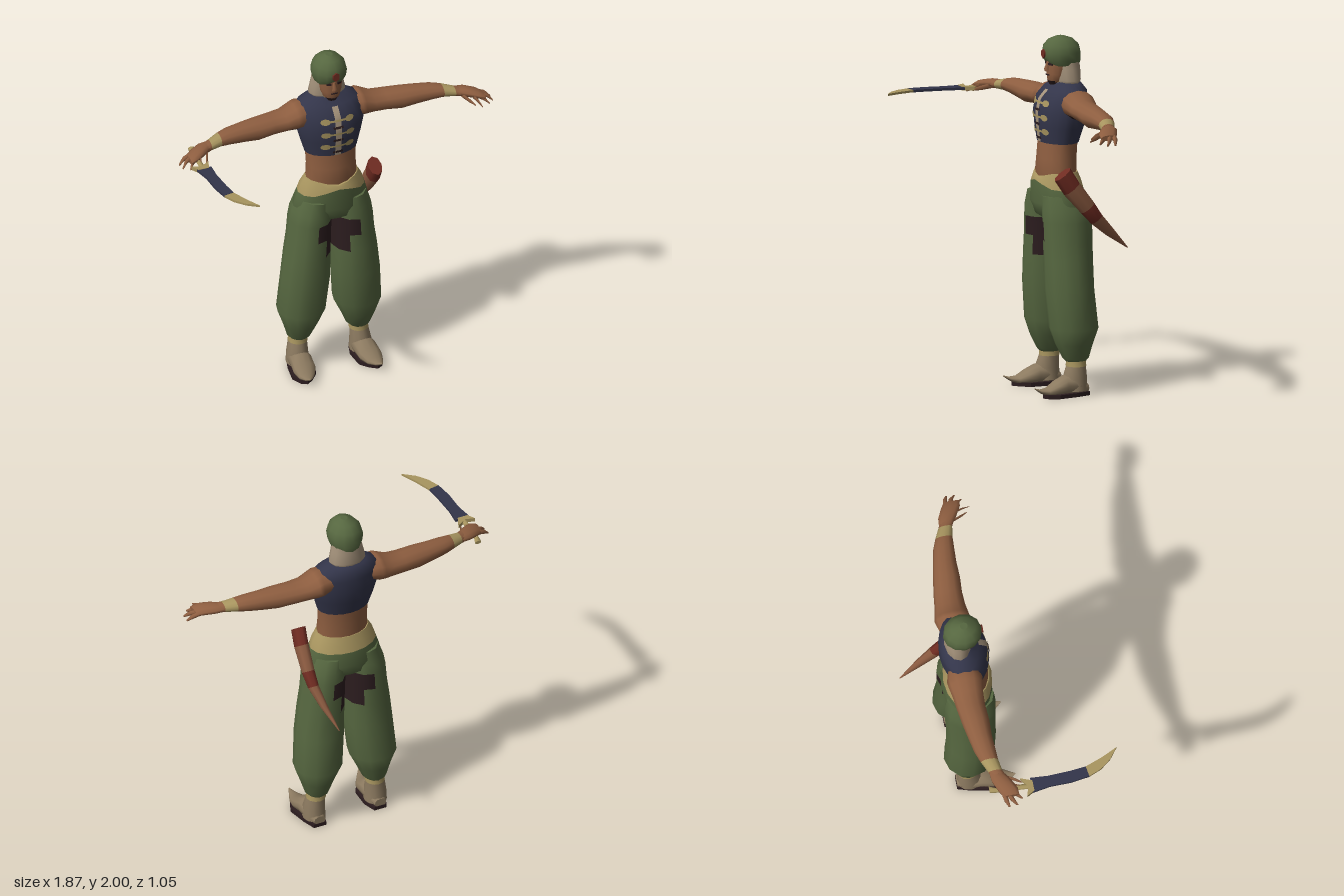
import * as THREE from 'three';

const mat = (name, color, side = THREE.FrontSide) => {
  const m = new THREE.MeshStandardMaterial({ color, side });
  m.name = name;
  return m;
};

const X = [1, 0, 0], Y = [0, 1, 0], Z = [0, 0, 1];

// Smooth skin through elliptical rings [x, y, z, radiusU, radiusV, frontDip].
// pick(ring, segment) chooses the material index of each quad.
function loft(rings, U, V, n = 12, pick = () => 0) {
  const pos = [], idx = [], geo = new THREE.BufferGeometry();
  const u = new THREE.Vector3(...U), v = new THREE.Vector3(...V);
  const a = new THREE.Vector3(...rings[0]), b = new THREE.Vector3(...rings[rings.length - 1]);
  const flip = u.clone().cross(v).dot(b.clone().sub(a)) < 0;
  const tri = (p, q, r) => (flip ? idx.push(p, r, q) : idx.push(p, q, r));
  const ringPoints = ([x, y, z, ru, rv, dip = 0]) => {
    for (let j = 0; j < n; j++) {
      const t = (j / n) * Math.PI * 2, c = Math.cos(t) * ru, s = Math.sin(t) * rv;
      pos.push(x + u.x * c + v.x * s,
        y + u.y * c + v.y * s + dip * Math.max(0, Math.sin(t)) ** 6,
        z + u.z * c + v.z * s);
    }
  };
  rings.forEach(ringPoints);
  for (let i = 0; i < rings.length - 1; i++) {
    for (let j = 0; j < n; j++) {
      const k = (j + 1) % n, p = i * n, q = p + n;
      geo.addGroup(idx.length, 6, pick(i, j));
      tri(p + j, p + k, q + k);
      tri(p + j, q + k, q + j);
    }
  }
  // end caps
  [0, rings.length - 1].forEach((i) => {
    const start = pos.length / 3;
    ringPoints(rings[i]);
    pos.push(...rings[i].slice(0, 3));
    geo.addGroup(idx.length, n * 3, 0);
    for (let j = 0; j < n; j++) {
      const k = (j + 1) % n;
      if (i) tri(start + j, start + k, start + n);
      else tri(start + k, start + j, start + n);
    }
  });
  geo.setAttribute('position', new THREE.Float32BufferAttribute(pos, 3));
  geo.setIndex(idx);
  geo.computeVertexNormals();
  return geo;
}

// Flat plate outlined in x and z, between y and y + depth.
function slab(points, y, depth) {
  const shape = new THREE.Shape(points.map((p) => new THREE.Vector2(p[0], p[1])));
  const geo = new THREE.ExtrudeGeometry(shape, { depth, bevelEnabled: false });
  return geo.rotateX(Math.PI / 2).translate(0, y + depth, 0);
}

export function createModel() {
  const model = new THREE.Group();
  model.name = 'swordsman';
  const green = mat('green cloth', 0x566740), skin = mat('skin', 0x8e5e40);
  const navy = mat('navy cloth', 0x33354a), sand = mat('sand trim', 0xa8955f);
  const tan = mat('tan cloth', 0xa3917a), boot = mat('boot leather', 0x8c7a60);
  const dark = mat('dark brown', 0x2c1d1f), red = mat('dark red', 0x702c22);
  const leather = mat('scabbard leather', 0x8a5a40);
  const add = (name, geo, material) => {
    const m = new THREE.Mesh(geo, material);
    m.name = name;
    model.add(m);
    return m;
  };

  // Torso
  const vest = [
    [0, 1.41, -0.185, 0.154, 0.108], [0, 1.5, -0.193, 0.18, 0.128],
    [0, 1.58, -0.2, 0.2, 0.139], [0, 1.66, -0.21, 0.195, 0.13],
    [0, 1.705, -0.23, 0.18, 0.105], [0, 1.735, -0.235, 0.115, 0.08], [0, 1.75, -0.225, 0.07, 0.06],
  ];
  add('vest', loft(vest, X, Z, 20), navy);
  add('waist', loft([[0, 1.16, -0.18, 0.15, 0.1], [0, 1.25, -0.173, 0.149, 0.108],
    [0, 1.32, -0.177, 0.144, 0.106], [0, 1.42, -0.185, 0.149, 0.104]], X, Z, 16), skin);
  add('sash', loft([[0, 1.155, -0.18, 0.197, 0.136, 0.045], [0, 1.2, -0.177, 0.182, 0.126, 0.014],
    [0, 1.245, -0.173, 0.155, 0.112, -0.03]], X, Z, 16), sand);
  add('hips', loft([[0, 0.97, -0.185, 0.13, 0.07], [0, 1.0, -0.187, 0.2, 0.12],
    [0, 1.07, -0.186, 0.223, 0.142], [0, 1.155, -0.18, 0.197, 0.136, 0.045]], X, Z, 16), green);

  // Vest decoration follows the chest
  const chestZ = (x, y) => {
    const i = Math.max(0, vest.findIndex((r, k) => k < vest.length - 1 && y <= vest[k + 1][1]));
    const a = vest[i], b = vest[i + 1], t = (y - a[1]) / (b[1] - a[1]);
    const mix = (k) => a[k] + (b[k] - a[k]) * t;
    return mix(2) + mix(4) * Math.sqrt(Math.max(0, 1 - (x / mix(3)) ** 2)) + 0.004;
  };
  const onChest = (geo, x, y) => {
    geo.translate(x, y, 0);
    const p = geo.attributes.position;
    for (let i = 0; i < p.count; i++) p.setZ(i, chestZ(p.getX(i), p.getY(i)));
    geo.computeVertexNormals();
    return geo;
  };
  add('vestPlacket', onChest(new THREE.PlaneGeometry(0.036, 0.29, 2, 12), 0, 1.558), tan);
  for (const y of [1.635, 1.555, 1.475]) {
    add('vestLoop', onChest(new THREE.PlaneGeometry(0.13, 0.012, 8, 1), 0, y), sand);
    for (const s of [-1, 1]) {
      add('vestButton', onChest(new THREE.CircleGeometry(0.024, 8).scale(1.2, 0.8, 1), s * 0.072, y), sand);
    }
  }
  for (const y of [1.595, 1.515, 1.435]) {
    add('vestClasp', onChest(new THREE.PlaneGeometry(0.06, 0.014, 4, 1), 0, y), dark);
  }

  // Head
  add('neck', loft([[0, 1.7, -0.22, 0.07, 0.065], [0, 1.8, -0.21, 0.058, 0.055]], X, Z), skin);
  add('collar', loft([[0, 1.725, -0.225, 0.085, 0.068], [0, 1.752, -0.222, 0.072, 0.063]], X, Z), sand);
  add('head', loft([[0, 1.735, -0.168, 0.03, 0.028], [0, 1.755, -0.178, 0.05, 0.052],
    [0, 1.79, -0.19, 0.064, 0.068], [0, 1.84, -0.195, 0.07, 0.073],
    [0, 1.9, -0.2, 0.072, 0.078]], X, Z, 14), skin);
  add('nose', loft([[0, 1.805, -0.122, 0.017, 0.014], [0, 1.818, -0.118, 0.015, 0.014],
    [0, 1.855, -0.125, 0.008, 0.008]], X, Z, 6), skin);
  add('chinBeard', loft([[0, 1.729, -0.163, 0.026, 0.025], [0, 1.752, -0.17, 0.044, 0.047]], X, Z), dark);
  add('mouth', new THREE.BoxGeometry(0.038, 0.006, 0.008).translate(0, 1.785, -0.123), dark);
  for (const s of [-1, 1]) {
    const eye = add('eye', new THREE.BoxGeometry(0.03, 0.013, 0.008), dark);
    eye.position.set(s * 0.031, 1.848, -0.128);
    eye.rotation.y = s * 0.4;
  }
  add('neckDrape', loft([[0, 1.738, -0.238, 0.098, 0.068], [0, 1.755, -0.237, 0.11, 0.074],
    [0, 1.82, -0.235, 0.094, 0.076], [0, 1.88, -0.23, 0.082, 0.075]], X, Z), tan);
  add('turban', loft([[0, 1.838, -0.213, 0.082, 0.098, 0.03], [0, 1.868, -0.21, 0.096, 0.108, 0.015],
    [0, 1.91, -0.207, 0.101, 0.109], [0, 1.95, -0.206, 0.09, 0.102],
    [0, 1.983, -0.203, 0.06, 0.07], [0, 2, -0.2, 0.02, 0.022]], X, Z), green);
  add('turbanGem', new THREE.CylinderGeometry(0.022, 0.022, 0.009, 6).rotateX(Math.PI / 2)
    .scale(1, 1.2, 1).translate(0, 1.905, -0.098), red);

  for (const s of [-1, 1]) {
    const side = (rings) => rings.map(([x, ...r]) => [s * x, ...r]);
    const U = [s, 0, 0];

    // Trouser leg, dark on the inner thigh
    const inner = (i, j) => ((i === 2 && j >= 3 && j <= 8) || (i === 3 && (j === 4 || j === 5 || j === 6 || j === 7)) ? 1 : 0);
    add('trouserLeg', loft(side([[0.1, 1.12, -0.182, 0.1, 0.132], [0.117, 1.04, -0.186, 0.114, 0.143],
      [0.124, 0.975, -0.188, 0.119, 0.144], [0.13, 0.87, -0.188, 0.123, 0.142],
      [0.14, 0.76, -0.187, 0.131, 0.14], [0.15, 0.6, -0.188, 0.14, 0.14],
      [0.168, 0.38, -0.207, 0.138, 0.139], [0.173, 0.29, -0.206, 0.1, 0.108],
      [0.178, 0.21, -0.214, 0.07, 0.075], [0.18, 0.19, -0.215, 0.05, 0.055]]), U, Z, 12, inner), [green, dark]);

    // Curled boot
    add('ankleCuff', loft(side([[0.183, 0.165, -0.215, 0.056, 0.058], [0.181, 0.21, -0.215, 0.052, 0.056]]), X, Z), sand);
    add('bootShaft', loft(side([[0.19, 0.03, -0.205, 0.064, 0.072], [0.19, 0.1, -0.205, 0.06, 0.07],
      [0.184, 0.175, -0.215, 0.052, 0.054]]), X, Z), boot);
    add('bootFoot', loft(side([[0.188, 0.04, -0.278, 0.035, 0.026], [0.19, 0.06, -0.22, 0.06, 0.052],
      [0.192, 0.064, -0.14, 0.066, 0.055], [0.198, 0.048, -0.08, 0.067, 0.04],
      [0.205, 0.034, -0.03, 0.048, 0.022], [0.211, 0.041, 0.015, 0.024, 0.011],
      [0.216, 0.058, 0.05, 0.003, 0.003]]), X, Y), boot);
    add('bootSole', slab([[0.15, -0.28], [0.225, -0.28], [0.25, -0.2], [0.272, -0.08], [0.245, -0.02],
      [0.212, 0], [0.17, -0.03], [0.13, -0.08], [0.125, -0.2]].map(([x, z]) => [s * x, z]), 0, 0.022), dark);

    // Arm with wrist band, dark under the armhole
    const armColour = (i, j) => (i === 8 ? 1 : i === 2 && j >= 4 && j <= 7 ? 2 : 0);
    add('arm', loft(side([[0.11, 1.64, -0.23, 0.06, 0.08], [0.18, 1.637, -0.23, 0.079, 0.1],
      [0.205, 1.63, -0.23, 0.074, 0.097], [0.265, 1.617, -0.228, 0.058, 0.086],
      [0.34, 1.613, -0.225, 0.058, 0.08], [0.43, 1.608, -0.215, 0.062, 0.076],
      [0.52, 1.61, -0.208, 0.054, 0.066], [0.61, 1.612, -0.197, 0.045, 0.059],
      [0.67, 1.61, -0.184, 0.036, 0.049], [0.735, 1.602, -0.163, 0.027, 0.039],
      [0.76, 1.6, -0.152, 0.026, 0.04]]), Y, Z, 12, armColour), [skin, sand, dark]);

    // Hand
    add('palm', loft(side([[0.74, 1.601, -0.162, 0.024, 0.037], [0.79, 1.6, -0.142, 0.027, 0.053],
      [0.85, 1.59, -0.112, 0.024, 0.056], [0.885, 1.578, -0.1, 0.016, 0.046]]), Y, Z, 10), skin);
    const finger = (name, a, b, c) => add(name, loft(side([[...a, 0.014, 0.015], [...b, 0.013, 0.014],
      [...c, 0.005, 0.006]]), Y, Z, 6), skin);
    finger('littleFinger', [0.86, 1.585, -0.14], [0.905, 1.57, -0.132], [0.935, 1.545, -0.12]);
    finger('ringFinger', [0.865, 1.583, -0.115], [0.905, 1.57, -0.098], [0.932, 1.545, -0.075]);
    finger('middleFinger', [0.85, 1.583, -0.09], [0.88, 1.568, -0.068], [0.9, 1.55, -0.043]);
    finger('indexFinger', [0.82, 1.588, -0.09], [0.835, 1.575, -0.05], [0.845, 1.558, -0.01]);
    finger('thumb', [0.765, 1.59, -0.125], [0.79, 1.578, -0.07], [0.812, 1.565, -0.03]);
  }

  // Curved sabre in the right hand
  add('sabreGrip', loft([[-0.825, 1.575, -0.215, 0.02, 0.01], [-0.835, 1.575, -0.18, 0.015, 0.012],
    [-0.845, 1.575, 0.01, 0.016, 0.012]], X, Y, 8), sand);
  add('sabreGuard', slab([[-0.905, -0.015], [-0.88, 0.03], [-0.82, 0.03], [-0.795, -0.035], [-0.85, 0]], 1.565, 0.022), sand);
  const tilt = (geo) => {
    const p = geo.attributes.position;
    for (let i = 0; i < p.count; i++) p.setY(i, p.getY(i) + 0.035 * p.getZ(i));
    geo.computeVertexNormals();
    return geo;
  };
  add('sabreBlade', tilt(slab([[-0.888, 0.02], [-0.872, 0.12], [-0.872, 0.24], [-0.858, 0.345],
    [-0.798, 0.335], [-0.806, 0.25], [-0.81, 0.12], [-0.802, 0.02]], 1.57, 0.014)), navy);
  add('sabreTip', tilt(slab([[-0.858, 0.345], [-0.83, 0.415], [-0.785, 0.475], [-0.72, 0.525],
    [-0.762, 0.435], [-0.798, 0.335]], 1.571, 0.012)), sand);

  // Scabbard on the left hip
  const scabbard = [[0.238, 1.262, -0.108, 0.04, 0.057], [0.245, 1.18, -0.16, 0.04, 0.056],
    [0.25, 1.065, -0.255, 0.036, 0.048], [0.246, 0.995, -0.312, 0.031, 0.04],
    [0.225, 0.91, -0.405, 0.021, 0.027], [0.19, 0.81, -0.525, 0.003, 0.003]];
  add('scabbard', loft(scabbard, X, [0, -0.6, 0.8], 8, (i) => (i === 0 || i === 2 ? 0 : 1)), [red, leather]);
  return model;
}
